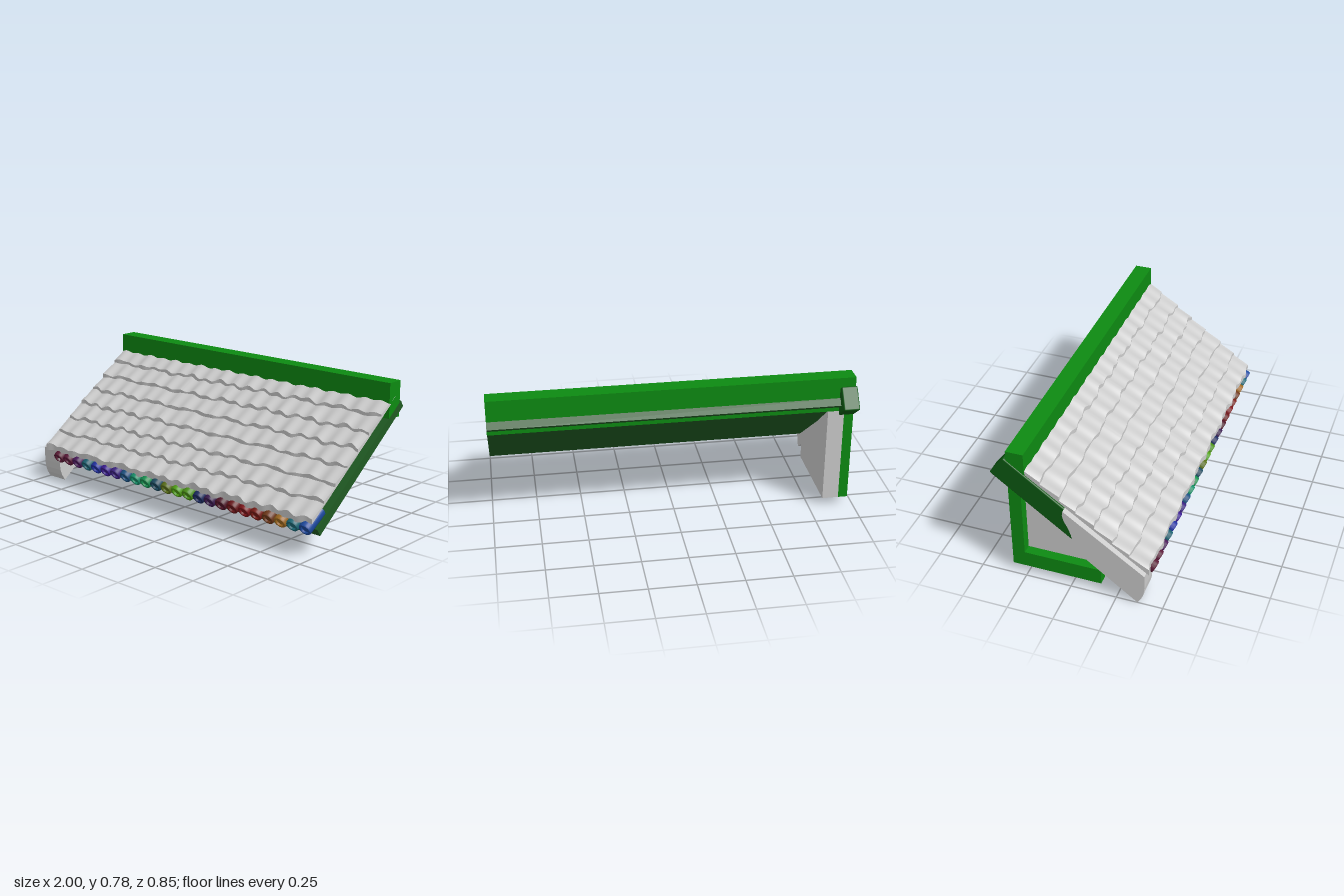
import * as THREE from 'three';
import { toCreasedNormals } from 'three/addons/utils/BufferGeometryUtils.js';
import { RoundedBoxGeometry } from 'three/addons/geometries/RoundedBoxGeometry.js';

const mat = (color) => new THREE.MeshStandardMaterial({ color });
const grey = mat(0xcccccc);
const beamGreen = mat(0x0d8a12);
const deckGreen = mat(0x1f5a22);
const rafterGreen = mat(0x0c5a12);

function add(parent, name, geometry, material) {
  const mesh = new THREE.Mesh(geometry, material);
  mesh.name = name;
  parent.add(mesh);
  return mesh;
}

// Box given by its limits on each axis
function boxBetween(x0, x1, y0, y1, z0, z1) {
  return new THREE.BoxGeometry(x1 - x0, y1 - y0, z1 - z0)
    .translate((x0 + x1) / 2, (y0 + y1) / 2, (z0 + z1) / 2);
}

// Side outline of [z, y] points, extruded from x0 to x1
function sideExtrude(points, x0, x1) {
  const shape = new THREE.Shape(points.map(([z, y]) => new THREE.Vector2(-z, y)));
  return new THREE.ExtrudeGeometry(shape, { depth: x1 - x0, bevelEnabled: false })
    .rotateY(Math.PI / 2).translate(x0, 0, 0);
}

// Overlapping courses of wavy tiles: one closed cross-section swept along x
function tileGeometry() {
  const cols = 200, rows = 7, steps = 5, x0 = -0.97, x1 = 1;
  const slope = (z) => 0.22 + 0.73 * (0.41 - z);
  const section = (x) => {
    const top = [], bottom = [];
    for (let r = 0; r < rows; r++) {
      const lip = (n) => 0.41 - 0.095 * n
        + 0.005 * Math.sin(x * 23 + n * 2.1) + 0.003 * Math.sin(x * 57 + n * 5);
      const zLow = lip(r), zHigh = r === rows - 1 ? -0.29 : lip(r + 1);
      const wave = 0.006 * Math.cos(x * Math.PI * 2 / 0.105 + 0.5 * Math.sin(r * 3))
        + 0.003 * Math.sin(x * 31 + r * 4);
      for (let k = 0; k <= steps; k++) {
        const t = k / steps, z = zLow + (zHigh - zLow) * t;
        top.push([z, slope(z) - 0.004 - 0.017 * t + wave * (1 - 0.4 * t)]);
        bottom.push([z, slope(z) - 0.037]);
      }
    }
    return top.concat(bottom.reverse());
  };
  const pos = [], idx = [];
  const n = rows * (steps + 1) * 2;
  for (let i = 0; i <= cols; i++) {
    const x = x0 + (x1 - x0) * i / cols;
    for (const [z, y] of section(x)) pos.push(x, y, z);
  }
  for (let i = 0; i < cols; i++) {
    for (let j = 0; j < n; j++) {
      const a = i * n + j, b = i * n + (j + 1) % n;
      idx.push(a, a + n, b, b, a + n, b + n);
    }
  }
  // End caps
  for (let k = 0; k < n / 2 - 1; k++) {
    const a = k, b = k + 1, c = n - 2 - k, d = n - 1 - k, e = cols * n;
    idx.push(a, b, c, a, c, d, e + a, e + c, e + b, e + a, e + d, e + c);
  }
  const g = new THREE.BufferGeometry();
  g.setAttribute('position', new THREE.Float32BufferAttribute(pos, 3));
  g.setIndex(idx);
  return toCreasedNormals(g, 0.7);
}

// Eave log with a raised rim and a recessed end, axis along +y
function logGeometry() {
  const profile = [[0, 0], [0.035, 0], [0.036, 0.133], [0.033, 0.14], [0.024, 0.14], [0.021, 0.13], [0, 0.13]];
  return toCreasedNormals(
    new THREE.LatheGeometry(profile.map(([r, y]) => new THREE.Vector2(r, y)), 20), 0.6);
}

export function createModel() {
  const model = new THREE.Group();
  model.name = 'roofSection';

  const tiles = add(model, 'roofTiles', tileGeometry(), grey.clone());
  tiles.material.side = THREE.DoubleSide;

  add(model, 'ridgeBeam', boxBetween(-0.975, 1, 0.587, 0.782, -0.333, -0.238), beamGreen);
  add(model, 'roofDeck', sideExtrude(
    [[0.365, 0.145], [0.338, 0.105], [-0.368, 0.635], [-0.345, 0.67]], -0.97, 1), deckGreen);

  // Gable rafter running up past the ridge
  const rafter = add(model, 'gableRafter', new RoundedBoxGeometry(0.09, 0.132, 0.56, 3, 0.008), rafterGreen);
  rafter.position.set(-0.935, 0.517, -0.163);
  rafter.rotation.x = Math.atan(0.75);

  // Lower bargeboard with a curved foot and a curved top end
  add(model, 'bargeboard', sideExtrude([
    [0.365, 0.003], [0.385, 0.035], [0.397, 0.07], [0.401, 0.11], [0.401, 0.19],
    [-0.03, 0.5], [-0.034, 0.475], [-0.026, 0.44], [-0.005, 0.4], [0.01, 0.36],
    [0.03, 0.262],
  ], -1, -0.87), grey);

  // Gable wall with its timber frame on the outside
  const wall = new THREE.Group();
  wall.name = 'gableWall';
  model.add(wall);
  add(wall, 'wallPanel', sideExtrude(
    [[0.158, 0.045], [0.158, 0.19], [-0.09, 0.39], [-0.333, 0.595], [-0.333, 0.045]], -0.92, -0.83), grey);
  add(wall, 'wallRail', boxBetween(-0.972, -0.92, 0.045, 0.135, -0.333, 0.158), beamGreen);
  add(wall, 'wallPost', boxBetween(-0.972, -0.92, 0.135, 0.6, -0.333, -0.265), beamGreen);

  // Row of coloured logs under the eave
  const logs = new THREE.Group();
  logs.name = 'eaveLogs';
  model.add(logs);
  const colors = [
    0x5a1a35, 0x5a1838, 0x4a1a5a, 0x1a6070, 0x2030a0, 0x3a1a90, 0x3a2080, 0x1a5080,
    0x14906a, 0x149050, 0x1a4a60, 0x5a7018, 0x50a014, 0x4a9014, 0x1a2a60, 0x3a1a50,
    0x501428, 0x6a1418, 0x80141a, 0x7a1a14, 0x703818, 0xa06a20, 0x1a6a78, 0x1c4aa0,
  ];
  const logShape = logGeometry();
  colors.forEach((color, i) => {
    const log = add(logs, 'eaveLog', logShape, mat(color));
    log.position.set(-0.865 + i * 0.0793, 0.218, 0.294);
    log.rotation.x = Math.PI / 2 + 0.54;
  });

  return model;
}
